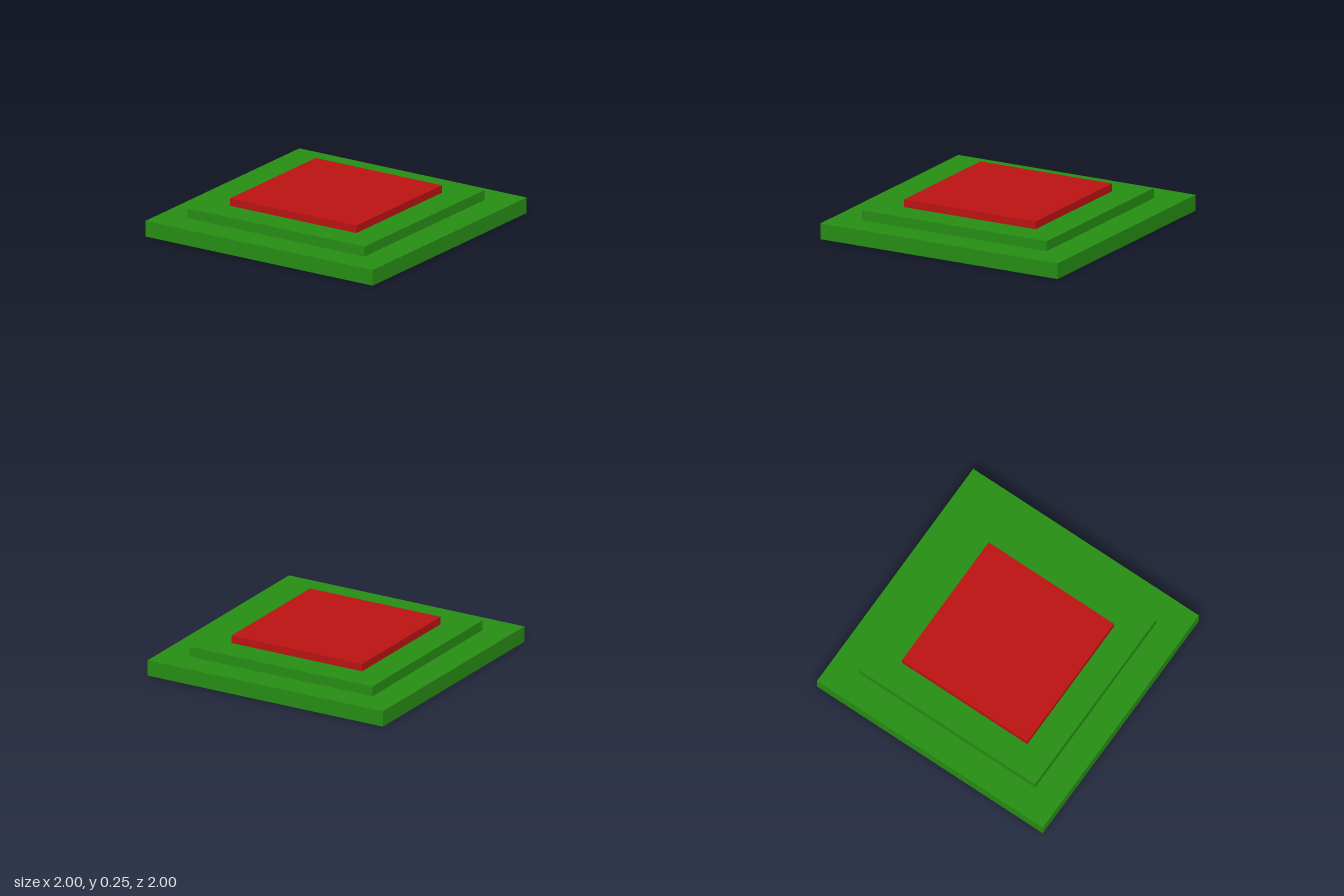
import * as THREE from 'three';

export function createModel() {
  const group = new THREE.Group();
  const green = new THREE.MeshStandardMaterial({ color: 0x278e14 });
  const red = new THREE.MeshStandardMaterial({ color: 0xbc1313 });

  // Square tiers stacked from the ground up: name, width, height, material
  const tiers = [
    ['basePlate', 2, 0.12, green],
    ['middleStep', 1.556, 0.076, green],
    ['topPad', 1.11, 0.058, red],
  ];

  let y = 0;
  for (const [name, width, height, material] of tiers) {
    const tier = new THREE.Mesh(new THREE.BoxGeometry(width, height, width), material);
    tier.name = name;
    tier.position.y = y + height / 2;
    group.add(tier);
    y += height;
  }
  return group;
}
